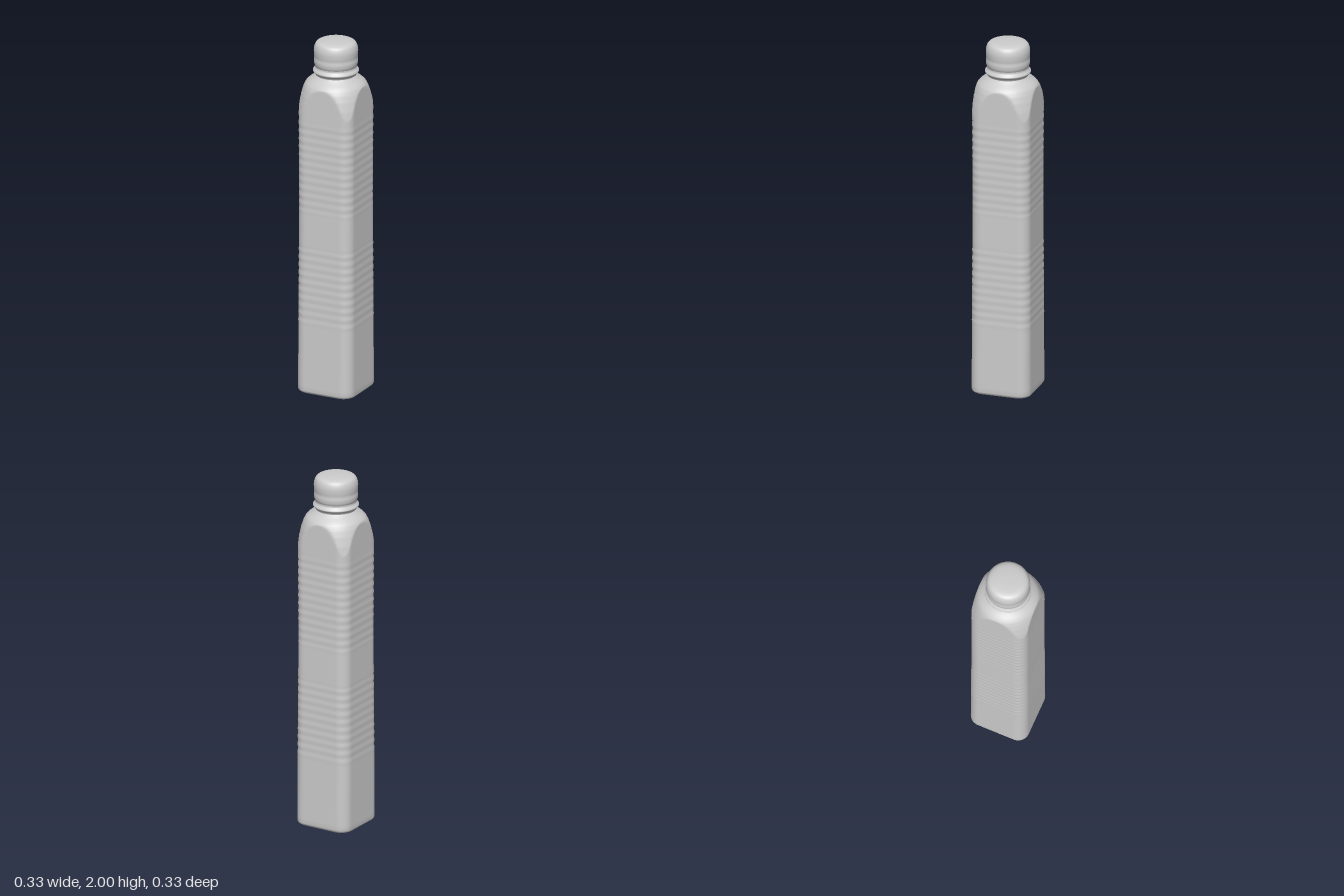
import * as THREE from 'three';

const material = new THREE.MeshStandardMaterial({ color: 0xcccccc, side: THREE.DoubleSide });

// Linear lookup in a list of [y, value] pairs
function lookup(table, y) {
  for (let i = 1; i < table.length; i++) {
    const [y0, a] = table[i - 1], [y1, b] = table[i];
    if (y <= y1) return a + (b - a) * Math.max(0, (y - y0) / (y1 - y0));
  }
  return table[table.length - 1][1];
}

// Rounded-square outline in the xz plane
function roundedSquare(half, corner) {
  const points = [], arc = 12, side = 16, flat = half - corner;
  for (let q = 0; q < 4; q++) {
    const turn = q * Math.PI / 2, c = Math.cos(turn), s = Math.sin(turn);
    const add = (x, z) => points.push([x * c - z * s, x * s + z * c]);
    for (let i = 0; i < side; i++) add(half, -flat + 2 * flat * i / side);
    for (let i = 0; i < arc; i++) {
      const a = i / arc * Math.PI / 2;
      add(flat + corner * Math.cos(a), flat + corner * Math.sin(a));
    }
  }
  return points;
}

// Square column trimmed by a round dome at the shoulder
function bodyGeometry() {
  const halfWidth = [[0, 0.08], [0.003, 0.12], [0.008, 0.155], [0.014, 0.163], [0.024, 0.167],
    [0.4, 0.166], [0.85, 0.164], [1.1, 0.163], [1.75, 0.165]];
  const dome = [[0, 1], [1.56, 0.212], [1.60, 0.207], [1.65, 0.199], [1.70, 0.187], [1.735, 0.175],
    [1.757, 0.164], [1.772, 0.15], [1.785, 0.133], [1.795, 0.12], [1.805, 0.11]];
  const levels = [0, 0.003, 0.008, 0.014, 0.024, 0.05, 0.2, 0.38];
  for (let y = 0.39; y < 1.56; y += 0.01) levels.push(y);
  for (let y = 1.56; y < 1.8; y += 0.006) levels.push(y);
  levels.push(1.805);

  const positions = [0, 0, 0], index = [];
  let count = 0;
  for (const y of levels) {
    // Faint horizontal ribs on the upper and lower grip
    const ribbed = (y > 0.4 && y < 0.85) || (y > 1.05 && y < 1.56);
    const half = lookup(halfWidth, y) + (ribbed ? 0.0008 * Math.sin(y * 2 * Math.PI / 0.045) : 0);
    const limit = lookup(dome, y);
    const ring = roundedSquare(half, Math.min(0.062, half * 0.5));
    count = ring.length;
    for (const [x, z] of ring) {
      const k = Math.min(1, limit / Math.hypot(x, z));
      positions.push(x * k, y, z * k);
    }
  }
  for (let i = 0; i < count; i++) {
    const j = (i + 1) % count;
    index.push(0, 1 + i, 1 + j);
    for (let r = 0; r < levels.length - 1; r++) {
      const a = 1 + r * count, b = a + count;
      index.push(a + i, b + i, a + j, a + j, b + i, b + j);
    }
  }
  const geometry = new THREE.BufferGeometry();
  geometry.setAttribute('position', new THREE.Float32BufferAttribute(positions, 3));
  geometry.setIndex(index);
  geometry.computeVertexNormals();
  return geometry;
}

// Smooth turned part from [radius, y] points
function turned(name, points) {
  const curve = new THREE.SplineCurve(points.map(([r, y]) => new THREE.Vector2(r, y)));
  const profile = curve.getPoints(points.length * 5);
  profile.forEach(p => { p.x = Math.max(0, p.x); });
  const mesh = new THREE.Mesh(new THREE.LatheGeometry(profile, 64), material);
  mesh.name = name;
  return mesh;
}

export function createModel() {
  const group = new THREE.Group();
  group.name = 'bottle';

  const body = new THREE.Mesh(bodyGeometry(), material);
  body.name = 'body';
  group.add(body);

  // Neck with its bead
  group.add(turned('neckRing', [[0.115, 1.795], [0.11, 1.803], [0.114, 1.813], [0.124, 1.825],
    [0.122, 1.833], [0.113, 1.845], [0.112, 1.855]]));

  // Cap with a slight waist and a shallow domed top
  group.add(turned('cap', [[0.112, 1.855], [0.117, 1.867], [0.119, 1.885], [0.117, 1.905], [0.119, 1.925],
    [0.119, 1.95], [0.113, 1.973], [0.102, 1.987], [0.08, 1.995], [0.04, 1.999], [0, 2]]));

  return group;
}
